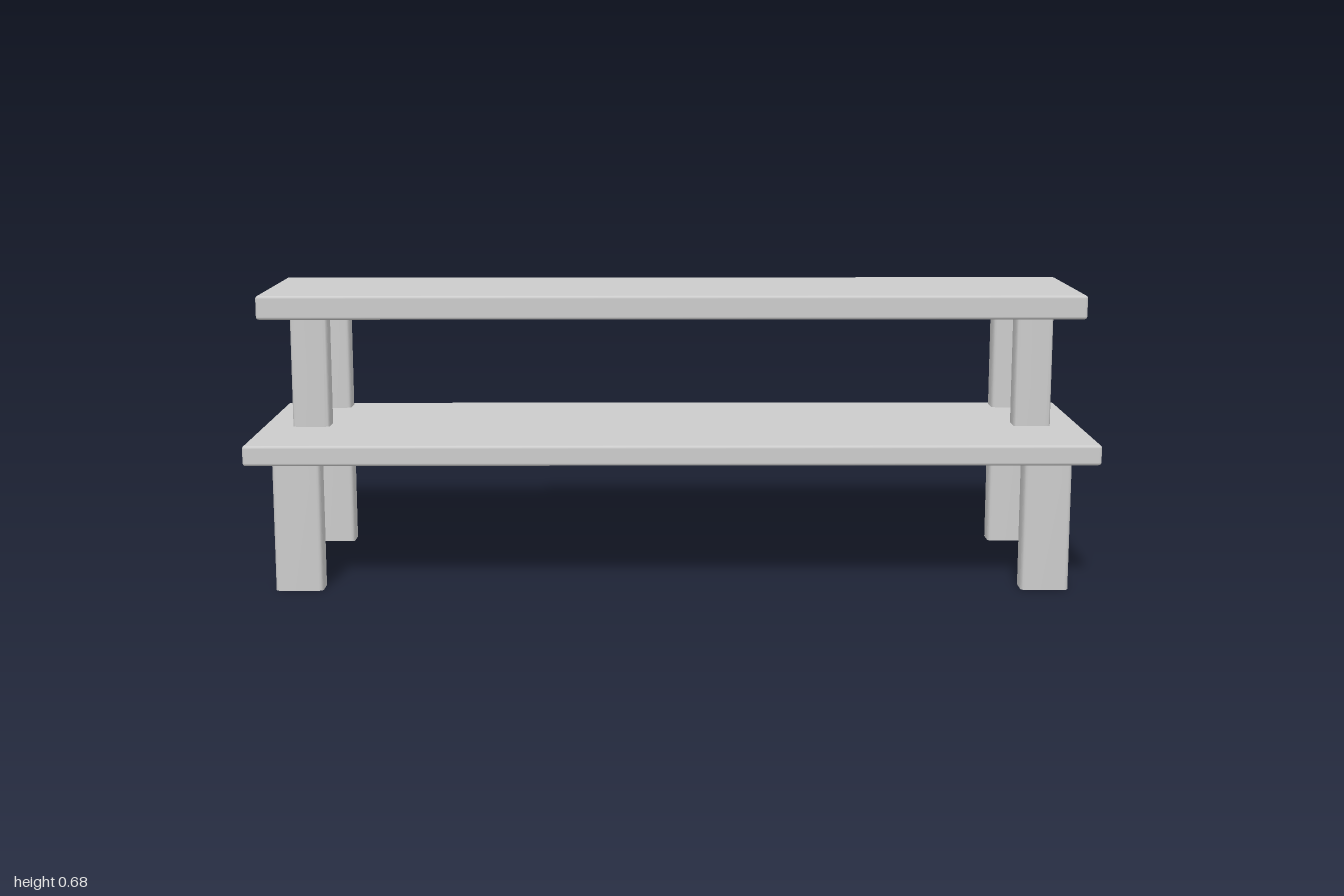
import * as THREE from 'three';
import { RoundedBoxGeometry } from 'three/addons/geometries/RoundedBoxGeometry.js';
import { toCreasedNormals } from 'three/addons/utils/BufferGeometryUtils.js';

const material = new THREE.MeshStandardMaterial({ color: 0xcccccc, side: THREE.DoubleSide });

// Board with softly rounded edges, spanning y0..y1 and z0..z1
function board(name, y0, y1, z0, z1) {
  const mesh = new THREE.Mesh(new RoundedBoxGeometry(2, y1 - y0, z1 - z0, 2, 0.007), material);
  mesh.name = name;
  mesh.position.set(0, (y0 + y1) / 2, (z0 + z1) / 2);
  return mesh;
}

// Open-ended post with a rounded rectangular section
function postGeometry(width, depth, height, r = 0.01) {
  const a = width / 2 - r, b = depth / 2 - r;
  const outline = [];
  [[a, b], [-a, b], [-a, -b], [a, -b]].forEach(([cx, cz], corner) => {
    for (let i = 0; i <= 3; i++) {
      const t = (corner + i / 3) * Math.PI / 2;
      outline.push([cx + r * Math.cos(t), cz + r * Math.sin(t)]);
    }
  });
  const positions = [], index = [], n = outline.length;
  outline.forEach(([x, z], i) => {
    positions.push(x, 0, z, x, height, z);
    const p = 2 * i, q = 2 * ((i + 1) % n);
    index.push(p, p + 1, q, q, p + 1, q + 1);
  });
  const geometry = new THREE.BufferGeometry();
  geometry.setAttribute('position', new THREE.Float32BufferAttribute(positions, 3));
  geometry.setIndex(index);
  return toCreasedNormals(geometry, 0.7);
}

export function createModel() {
  const group = new THREE.Group();
  group.name = 'tieredBench';

  group.add(board('lowerShelf', 0.305, 0.353, -0.288, 0.322));
  group.add(board('upperShelf', 0.62, 0.678, -0.32, 0.107));

  // Mirrored pairs of posts: name, x centre, z centre, width, bottom, top
  const posts = [
    ['FrontLeg', 0.881, 0.263, 0.112, 0, 0.306],
    ['BackLeg', 0.881, -0.237, 0.112, 0, 0.621],
    ['UpperFrontPost', 0.881, 0.037, 0.09, 0.352, 0.621],
  ];
  for (const [name, x, z, width, bottom, top] of posts) {
    const geometry = postGeometry(width, 0.064, top - bottom);
    for (const side of [-1, 1]) {
      const post = new THREE.Mesh(geometry, material);
      post.name = (side > 0 ? 'left' : 'right') + name;
      post.position.set(side * x, bottom, z);
      group.add(post);
    }
  }
  return group;
}
